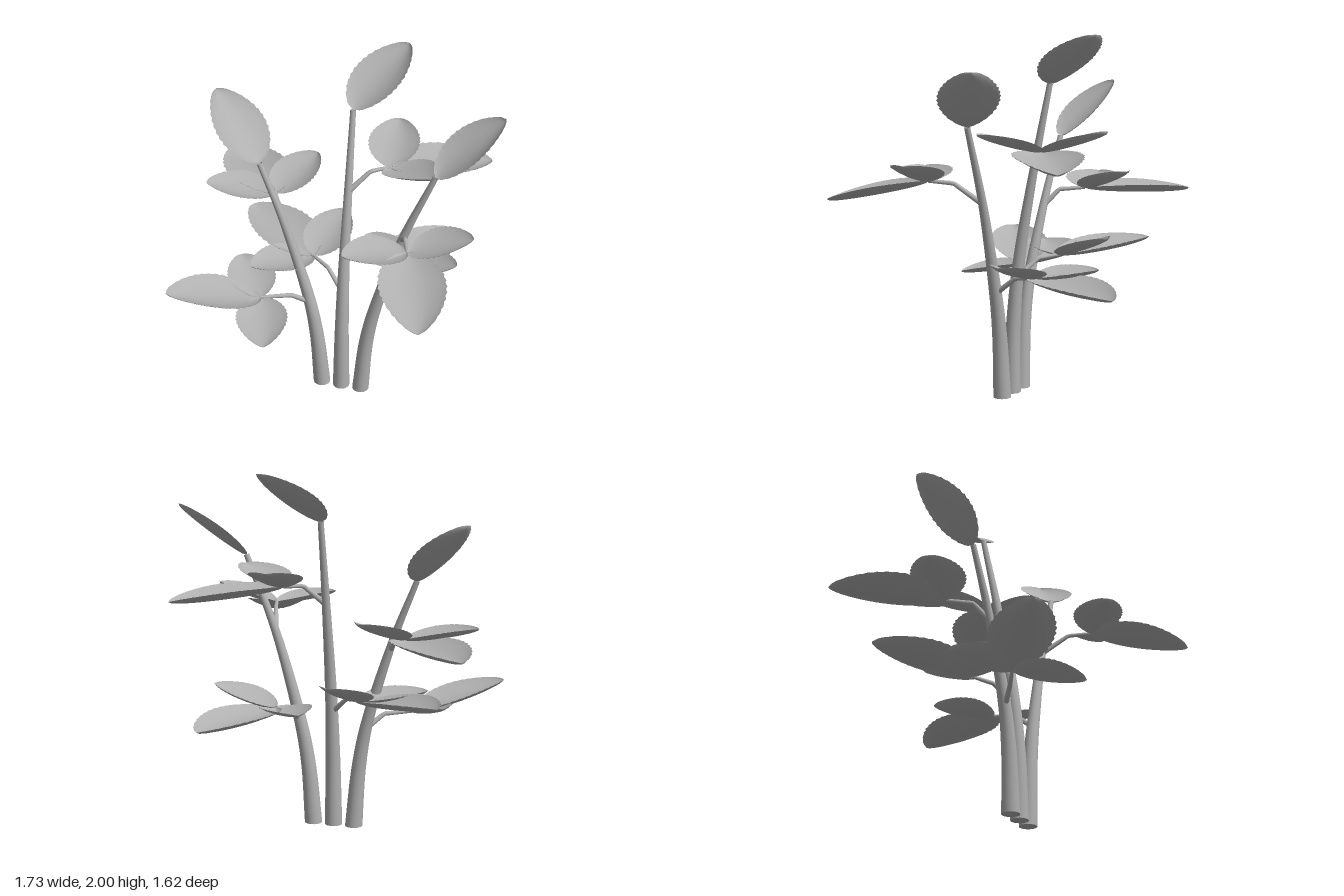
import * as THREE from 'three';

const grey = new THREE.MeshStandardMaterial({ color: 0xb0b0b0, side: THREE.DoubleSide });
grey.name = 'plant grey';

const V = (p) => new THREE.Vector3(...p);

// Round stalk along a path, tapering from r0 to r1; tension 0 keeps the path straight between points
function stalk(name, points, tension, r0, r1, segments, sides) {
  const curve = new THREE.CatmullRomCurve3(points.map(V), false, 'catmullrom', tension);
  const geo = new THREE.TubeGeometry(curve, segments, 1, sides, false);
  const pos = geo.attributes.position;
  const v = new THREE.Vector3();
  for (let i = 0; i <= segments; i++) {
    const t = i / segments;
    const centre = curve.getPointAt(t);
    const r = r1 + (r0 - r1) * Math.pow(1 - t, 1.15);
    for (let j = 0; j <= sides; j++) {
      const k = i * (sides + 1) + j;
      v.fromBufferAttribute(pos, k).sub(centre).multiplyScalar(r).add(centre);
      // Keep the foot flat on the ground
      if (i === 0 && points[0][1] === 0) v.y = 0;
      pos.setXYZ(k, v.x, v.y, v.z);
    }
  }
  const mesh = new THREE.Mesh(geo, grey);
  mesh.name = name;
  return mesh;
}

// Shallow cupped oval leaf with a toothed rim; longer leaves are wider
function leaf(name, basePoint, tipPoint) {
  const base = V(basePoint);
  const dir = V(tipPoint).sub(base);
  const length = dir.length();
  const width = 0.165 + 0.32 * length;
  const side = dir.clone().cross(new THREE.Vector3(0, 1, 0)).normalize();
  const normal = side.clone().cross(dir).normalize();
  const rows = 40;
  const across = [-1, -0.93, -0.78, -0.5, -0.25, 0, 0.25, 0.5, 0.78, 0.93, 1];
  const n = across.length;
  const pos = [];
  const index = [];
  for (let i = 0; i <= rows; i++) {
    const u = i / rows;
    const bulge = Math.max(0, Math.sin(Math.PI * u));
    const half = width / 2 * Math.pow(Math.max(0, Math.sin(Math.PI * Math.pow(u, 0.88))), 0.62);
    across.forEach((a, j) => {
      const tooth = Math.abs(a) === 1 ? 1 + 0.025 * ((i % 3) - 1) : 1;
      const height = bulge * length * 0.015 + width * 0.16 * Math.sqrt(bulge) * (a * a - 0.55);
      const p = base.clone().addScaledVector(dir, u)
        .addScaledVector(side, a * half * tooth)
        .addScaledVector(normal, height);
      pos.push(p.x, p.y, p.z);
      if (i < rows && j < n - 1) {
        const k = i * n + j;
        index.push(k, k + 1, k + n, k + 1, k + n + 1, k + n);
      }
    });
  }
  const geo = new THREE.BufferGeometry();
  geo.setAttribute('position', new THREE.Float32BufferAttribute(pos, 3));
  geo.setIndex(index);
  geo.computeVertexNormals();
  const mesh = new THREE.Mesh(geo, grey);
  mesh.name = name;
  return mesh;
}

// Main stem with a flat foot and one leaf at its top
function stem(name, path, leafTip) {
  const group = new THREE.Group();
  group.name = name;
  const foot = new THREE.Mesh(new THREE.CircleGeometry(0.05, 16).rotateX(Math.PI / 2), grey);
  foot.name = 'foot';
  foot.position.set(...path[0]);
  group.add(
    stalk('stalk', path, 0.5, 0.05, 0.016, 40, 16),
    foot,
    leaf('topLeaf', path[path.length - 1], leafTip),
  );
  return group;
}

// Bent twig with three leaves spreading from its end
function cluster(start, bend, end, ...leafTips) {
  const group = new THREE.Group();
  group.name = 'leafCluster';
  group.add(stalk('twig', [start, bend, end], 0, 0.016, 0.01, 14, 10));
  for (const tip of leafTips) group.add(leaf('leaf', end, tip));
  return group;
}

export function createModel() {
  const plant = new THREE.Group();
  plant.name = 'plant';

  const right = stem('rightStem',
    [[-0.09, 0, 0], [-0.12, 0.35, 0], [-0.18, 0.65, -0.01], [-0.32, 1.08, -0.04], [-0.46, 1.42, -0.07]],
    [-0.77, 1.74, -0.27]);
  right.add(
    cluster([-0.3, 1.02, -0.03], [-0.36, 1.12, -0.11], [-0.43, 1.13, -0.24],
      [-0.84, 1.11, -0.73], [-0.27, 1.25, -0.56], [-0.82, 1.19, -0.16]),
    cluster([-0.17, 0.58, 0], [-0.25, 0.65, 0.06], [-0.41, 0.66, 0.14],
      [-0.86, 0.81, 0.44], [-0.28, 0.6, 0.5], [-0.62, 0.74, -0.13]),
  );

  const middle = stem('middleStem',
    [[0.03, 0, 0], [0.03, 0.4, -0.01], [0.03, 0.8, -0.05], [0.03, 1.3, -0.14], [0.03, 1.74, -0.23]],
    [0.25, 2, -0.59]);
  middle.add(
    cluster([0.03, 1.28, -0.13], [0.14, 1.39, -0.2], [0.23, 1.39, -0.27],
      [0.75, 1.33, -0.61], [0.2, 1.5, -0.64], [0.53, 1.49, -0.05]),
    cluster([0.03, 0.66, -0.03], [-0.08, 0.76, -0.11], [-0.19, 0.77, -0.19],
      [-0.68, 0.83, -0.54], [-0.09, 0.9, -0.53], [-0.5, 0.8, 0.05]),
  );

  const left = stem('leftStem',
    [[0.15, 0, 0], [0.18, 0.35, 0], [0.24, 0.65, 0], [0.37, 1.1, 0], [0.54, 1.53, 0]],
    [0.86, 1.82, -0.2]);
  left.add(
    cluster([0.37, 1.11, 0], [0.42, 1.22, 0.15], [0.46, 1.23, 0.28],
      [0.64, 1.12, 0.81], [0.8, 1.34, 0.23], [0.16, 1.28, 0.48]),
    cluster([0.23, 0.6, 0], [0.25, 0.7, -0.13], [0.28, 0.72, -0.26],
      [0.52, 0.69, -0.81], [0.65, 0.83, -0.23], [0.06, 0.75, -0.54]),
  );

  plant.add(right, middle, left);
  return plant;
}
